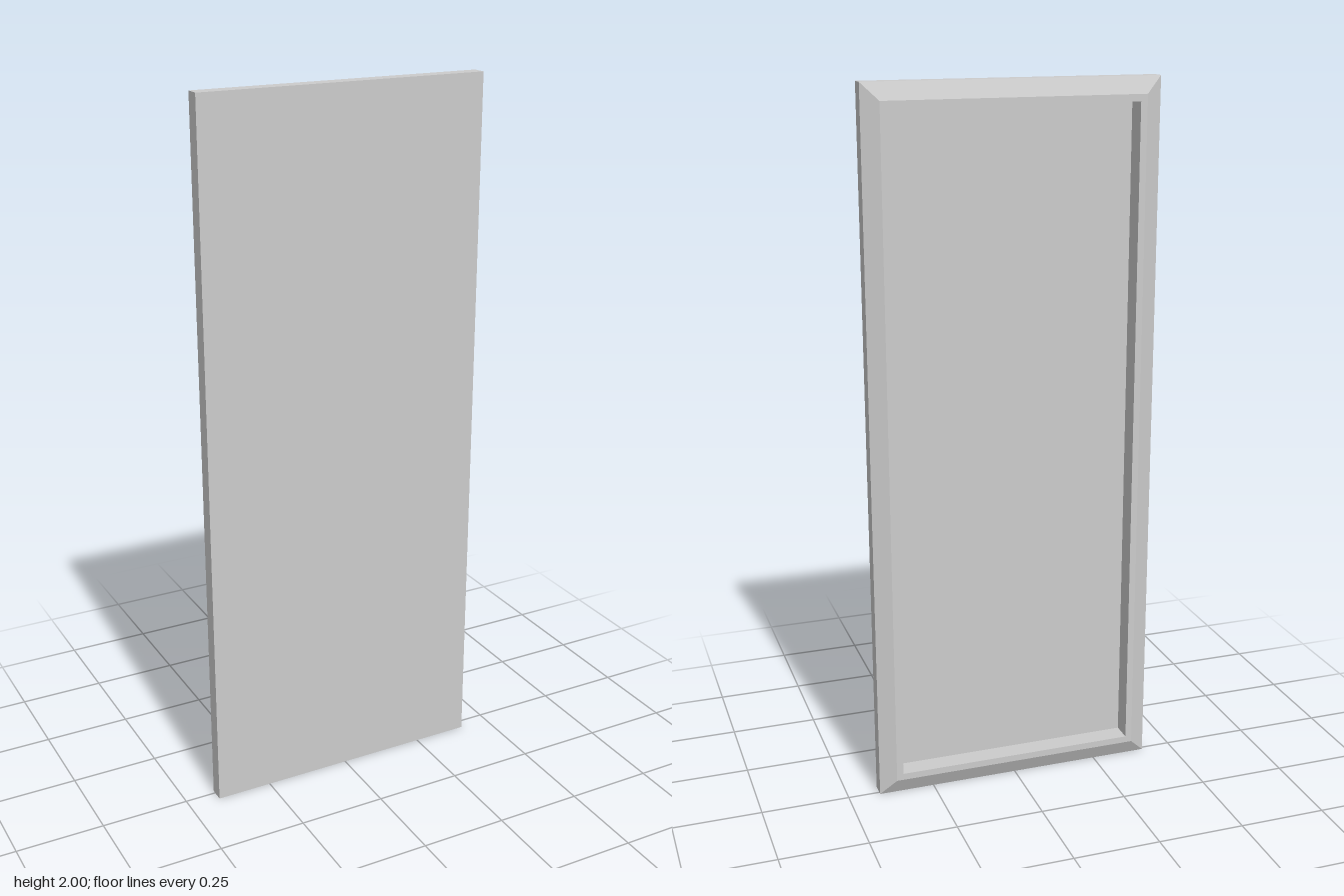
import * as THREE from 'three';

const W = 0.82, H = 2, FRONT = 0.032, FLOOR = 0.027;

// Sweeps a profile of [inset, z] points around a rectangle with mitred corners
function mitredFrame(profile) {
  const corners = [[-1, -1], [1, -1], [1, 1], [-1, 1]];
  const point = ([inset, z], i) => {
    const [sx, sy] = corners[i % 4];
    return [sx * (W / 2 - inset), H / 2 + sy * (H / 2 - inset), z];
  };
  const positions = [];
  for (let k = 0; k < profile.length - 1; k++) {
    for (let i = 0; i < 4; i++) {
      const a = point(profile[k], i), b = point(profile[k], i + 1);
      const c = point(profile[k + 1], i + 1), d = point(profile[k + 1], i);
      positions.push(...a, ...d, ...c, ...a, ...c, ...b);
    }
  }
  const geometry = new THREE.BufferGeometry();
  geometry.setAttribute('position', new THREE.Float32BufferAttribute(positions, 3));
  geometry.computeVertexNormals();
  return geometry;
}

export function createModel() {
  const group = new THREE.Group();
  const material = new THREE.MeshStandardMaterial({ color: 0xcccccc, flatShading: true });

  // Thin flat front sheet
  const panel = new THREE.Mesh(new THREE.BoxGeometry(W, H, FRONT - FLOOR), material);
  panel.position.set(0, H / 2, (FRONT + FLOOR) / 2);
  panel.name = 'frontPanel';
  group.add(panel);

  // Rear border: outer wall, sloped bevel, narrow flat rim, inner wall
  const frame = new THREE.Mesh(mitredFrame([
    [0, FLOOR], [0, -0.01], [0.046, -0.032], [0.065, -0.032], [0.065, FLOOR],
  ]), material);
  frame.name = 'rearFrame';
  group.add(frame);

  return group;
}
